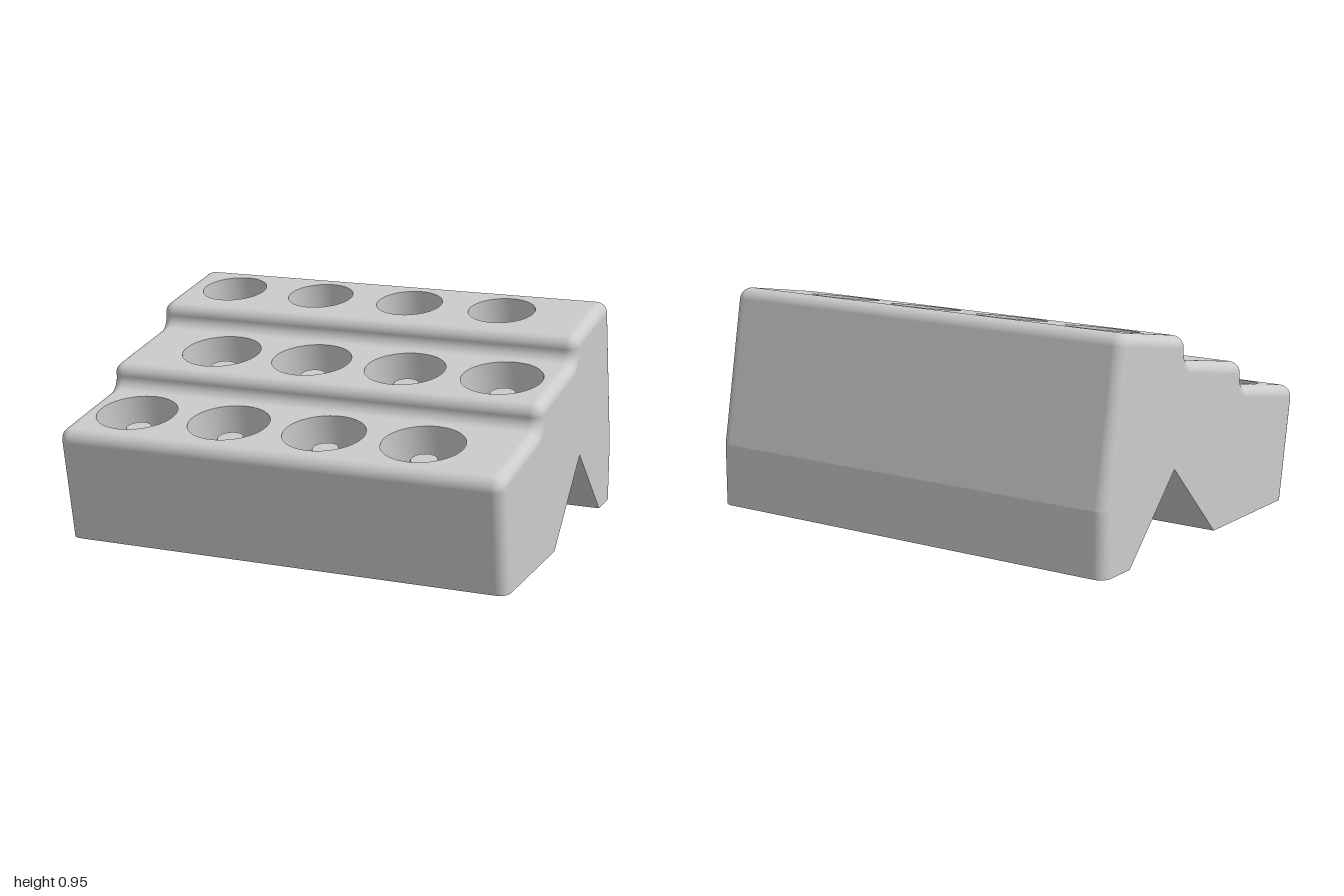
import * as THREE from 'three';
import { toCreasedNormals } from 'three/addons/utils/BufferGeometryUtils.js';

const TILT = THREE.MathUtils.degToRad(10);
const EDGE = 0.05;      // rounding of the two side outlines
const ARC = 10;         // segments per rounding
const V2 = (z, y) => new THREE.Vector2(z, y);

// Side outline as corners in (z, y), counter-clockwise from the front foot
function outlineCorners() {
  const corners = [{ p: V2(0.715, 0), m: V2(1 / Math.cos(TILT), 0) }];
  const along = V2(-Math.cos(TILT), Math.sin(TILT));
  const up = V2(Math.sin(TILT), Math.cos(TILT));
  const p = V2(0.803, 0.5);
  for (let i = 0; i < 3; i++) {
    corners.push({ p: p.clone(), r: i ? 0.05 : 0.055, tread: true });
    p.addScaledVector(along, 0.507);
    corners.push({ p: p.clone(), r: i < 2 ? 0.05 : 0.055 });
    p.addScaledVector(up, 0.1);
  }
  corners.push(
    { p: V2(-0.79, 0.275) },
    { p: V2(-0.79, 0), m: V2(-1, 0), flat: true },
    { p: V2(-0.6, 0), m: V2(0, 0), flat: true },
    { p: V2(-0.26, 0.34), m: V2(0, 0), flat: true },
    { p: V2(0.08, 0), m: V2(0, 0), flat: true });
  return corners;
}

// Rounds the corners; each point keeps its normals and its inset direction m
function buildOutline() {
  const corners = outlineCorners(), n = corners.length, out = [];
  corners.forEach((c, i) => {
    const t1 = c.p.clone().sub(corners[(i + n - 1) % n].p).normalize();
    const t2 = corners[(i + 1) % n].p.clone().sub(c.p).normalize();
    const n1 = V2(t1.y, -t1.x), n2 = V2(t2.y, -t2.x);
    if (!c.r) {
      const m = c.m || n1.clone().add(n2).divideScalar(1 + n1.dot(n2));
      out.push({ p: c.p, nIn: n1, nOut: n2, m, flat: c.flat });
      return;
    }
    const turn = Math.atan2(t1.cross(t2), t1.dot(t2)), s = Math.sign(turn);
    const centre = c.p.clone()
      .addScaledVector(t1, -c.r * Math.tan(Math.abs(turn) / 2))
      .addScaledVector(n1, -s * c.r);
    for (let k = 0; k <= ARC; k++) {
      const nk = n1.clone().rotateAround(V2(0, 0), turn * k / ARC);
      out.push({ p: centre.clone().addScaledVector(nk, s * c.r), nIn: nk, nOut: nk, m: nk,
        tread: c.tread && k === ARC });
    }
  });
  return out;
}

const inset = (v, d) => v.p.clone().addScaledVector(v.m, -d);

// Skin of the block, swept from side to side with rounded outlines
function skinGeometry(outline) {
  const rings = [];
  for (let k = 0; k <= ARC; k++) rings.push({ a: (1 - k / ARC) * Math.PI / 2, side: 1 });
  for (let k = 0; k <= ARC; k++) rings.push({ a: k / ARC * Math.PI / 2, side: -1 });
  const pos = [], nor = [];
  const put = (ring, v, nrm, flat) => {
    const q = inset(v, EDGE * (1 - Math.cos(ring.a)));
    pos.push(ring.side * (1 - EDGE + EDGE * Math.sin(ring.a)), q.y, q.x);
    const c = flat ? 1 : Math.cos(ring.a), sx = flat ? 0 : ring.side * Math.sin(ring.a);
    nor.push(sx, nrm.y * c, nrm.x * c);
  };
  for (let j = 0; j < rings.length - 1; j++) {
    const R = rings[j], S = rings[j + 1];
    outline.forEach((a, i) => {
      if (a.tread && j === ARC) return; // the drilled panels go here
      const b = outline[(i + 1) % outline.length];
      put(R, a, a.nOut, a.flat); put(R, b, b.nIn, a.flat); put(S, a, a.nOut, a.flat);
      put(R, b, b.nIn, a.flat); put(S, b, b.nIn, a.flat); put(S, a, a.nOut, a.flat);
    });
  }
  const g = new THREE.BufferGeometry();
  g.setAttribute('position', new THREE.Float32BufferAttribute(pos, 3));
  g.setAttribute('normal', new THREE.Float32BufferAttribute(nor, 3));
  return g;
}

// Pocket turned from its wall down to the floor and up the centre peg
const pocketGeometry = (profile) => toCreasedNormals(
  new THREE.LatheGeometry(profile.map(([r, y]) => V2(r, y)), 48).rotateX(Math.PI / 2), 0.4);

export function createModel() {
  const group = new THREE.Group();
  const mat = new THREE.MeshStandardMaterial({ color: 0xcccccc });
  const add = (parent, name, geo) => {
    const mesh = new THREE.Mesh(geo, mat);
    mesh.name = name;
    parent.add(mesh);
    return mesh;
  };
  const outline = buildOutline();
  add(group, 'blockSkin', skinGeometry(outline));

  // Flat side faces
  for (const side of [1, -1]) {
    const shape = new THREE.Shape(outline.map((v) => {
      const q = inset(v, EDGE);
      return V2(-side * q.x, q.y);
    }));
    const face = new THREE.ShapeGeometry(shape).rotateY(side * Math.PI / 2).translate(side, 0, 0);
    add(group, side > 0 ? 'leftSide' : 'rightSide', face);
  }

  // Three sloping treads, each with a row of four pockets
  const wide = [[0.177, 0], [0.177, -0.2], [0.125, -0.2], [0.055, -0.07], [0, -0.07]];
  const deep = [[0.15, 0], [0.15, -0.62], [0.11, -0.62], [0.055, -0.43], [0.05, -0.2], [0, -0.2]];
  const rows = [
    { name: 'front', x: -0.75, z: 0.545, profile: wide },
    { name: 'middle', x: -0.58, z: 0.06, profile: wide },
    { name: 'back', x: -0.75, z: -0.425, profile: deep },
  ];
  let row = 0;
  outline.forEach((a, i) => {
    if (!a.tread) return;
    const { name, x, z, profile } = rows[row++];
    const length = a.p.distanceTo(outline[i + 1].p), w = 1 - EDGE;
    const tread = new THREE.Group();
    tread.name = name + 'Tread';
    tread.position.set(0, a.p.y, a.p.x);
    tread.rotation.x = TILT - Math.PI / 2;
    group.add(tread);

    const panel = new THREE.Shape([V2(-w, 0), V2(w, 0), V2(w, length), V2(-w, length)]);
    const pocket = pocketGeometry(profile);
    const s = (a.p.x - z) / Math.cos(TILT);
    for (let k = 0; k < 4; k++) {
      const cx = x + k * 0.441;
      panel.holes.push(new THREE.Path().absarc(cx, s, profile[0][0], 0, Math.PI * 2, true));
      add(tread, name + 'Pocket', pocket).position.set(cx, s, 0);
    }
    add(tread, name + 'Panel', new THREE.ShapeGeometry(panel, 24));
  });
  return group;
}
